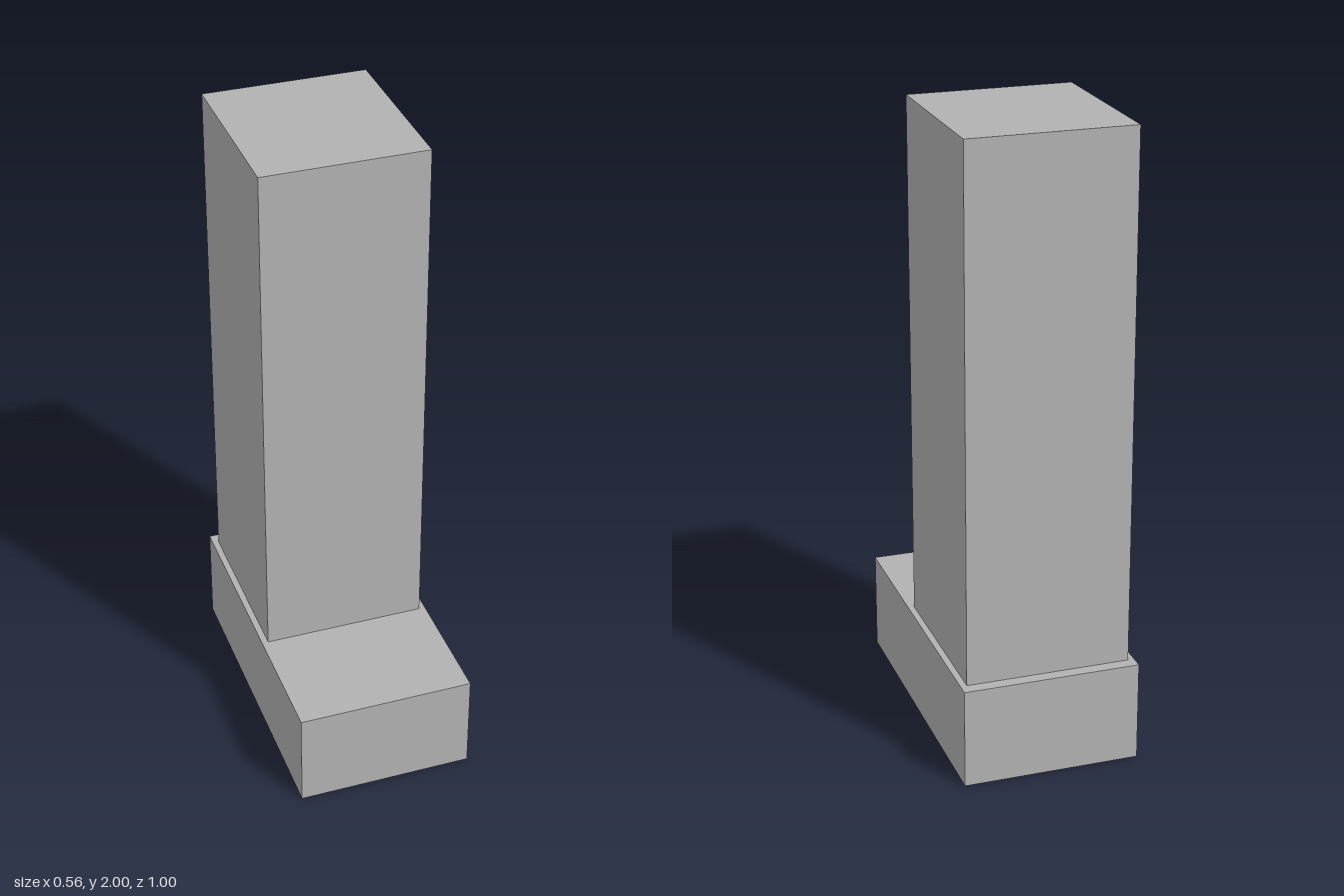
import * as THREE from 'three';

// Box given by its size, the height of its underside and its z centre
function block(name, [w, h, d], bottom, z, material) {
  const mesh = new THREE.Mesh(new THREE.BoxGeometry(w, h, d), material);
  mesh.name = name;
  mesh.position.set(0, bottom + h / 2, z);
  return mesh;
}

export function createModel() {
  const stone = new THREE.MeshStandardMaterial({ color: 0xb2b2b2 });
  stone.name = 'grey stone';

  const model = new THREE.Group();
  model.name = 'tower on plinth';

  // Low plinth, extending forward of the tower
  model.add(block('plinth', [0.56, 0.32, 1], 0, 0, stone));
  // Tall shaft, set towards the back
  model.add(block('tower', [0.52, 1.68, 0.56], 0.32, -0.18, stone));

  return model;
}
